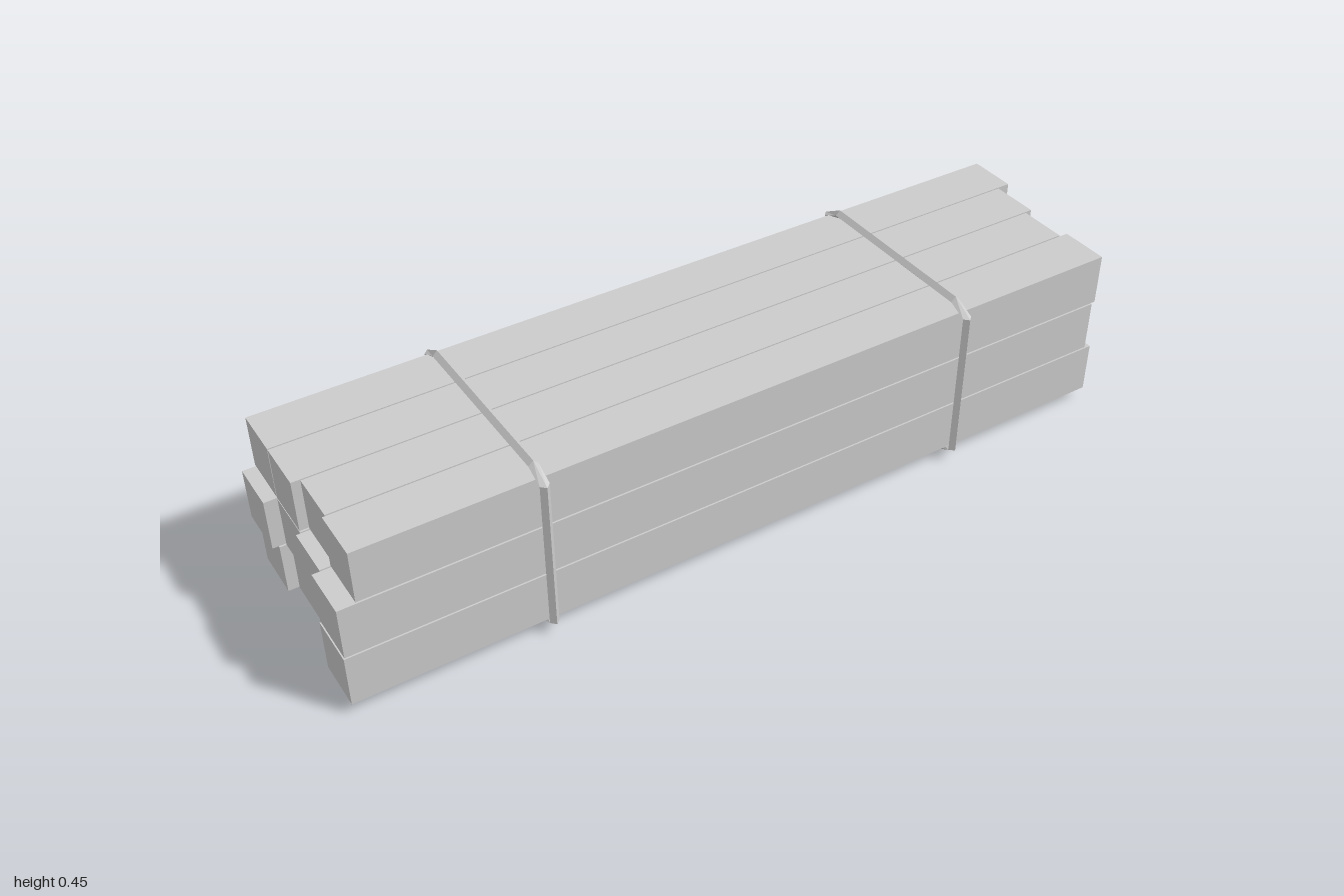
import * as THREE from 'three';

const timber = new THREE.MeshStandardMaterial({ color: 0xcccccc });
timber.name = 'light grey';

// Closed band with a diamond section, running round the bundle in the zy plane
function bandGeometry(r) {
  // [z, y, outward z, outward y] at each corner of the loop
  const path = [
    [0.267, 0.033, 1, 0], [0.267, 0.413, 1, 0],
    [0.222, 0.434, 0, 1], [-0.222, 0.434, 0, 1],
    [-0.267, 0.413, -1, 0], [-0.267, 0.033, -1, 0],
    [-0.222, 0.0115, 0, -1], [0.222, 0.0115, 0, -1],
  ];
  const section = [[1, 0], [0, 1], [-1, 0], [0, -1]]; // [outward, x]
  const points = [], index = [];
  path.forEach(([z, y, nz, ny], i) => {
    section.forEach(([out, side], j) => {
      points.push(side * r, y + ny * out * r, z + nz * out * r);
      const i2 = (i + 1) % path.length, j2 = (j + 1) % 4;
      const a = i * 4 + j, b = i * 4 + j2, c = i2 * 4 + j2, d = i2 * 4 + j;
      index.push(a, b, c, a, c, d);
    });
  });
  const indexed = new THREE.BufferGeometry();
  indexed.setAttribute('position', new THREE.Float32BufferAttribute(points, 3));
  indexed.setIndex(index);
  const geometry = indexed.toNonIndexed();
  geometry.computeVertexNormals();
  return geometry;
}

export function createModel() {
  const model = new THREE.Group();
  model.name = 'beamBundle';

  // Uneven beam ends [x start, x end]; rows bottom to top, columns back to front
  const ends = [
    [[-0.985, 0.96], [-0.96, 0.95], [-0.96, 0.945], [-1, 0.975]],
    [[-1, 0.97], [-0.97, 0.95], [-0.98, 0.99], [-0.998, 0.957]],
    [[-0.97, 1], [-0.97, 0.965], [-0.95, 0.945], [-0.957, 0.965]],
  ];
  const beams = new THREE.Group();
  beams.name = 'beams';
  ends.forEach((row, r) => row.forEach(([x0, x1], c) => {
    const beam = new THREE.Mesh(new THREE.BoxGeometry(x1 - x0, 0.128, 0.123), timber);
    beam.name = `beamRow${r + 1}Column${c + 1}`;
    beam.position.set((x0 + x1) / 2, 0.093 + r * 0.132, (c - 1.5) * 0.1265);
    beams.add(beam);
  }));
  model.add(beams);

  // Two binding straps
  const geometry = bandGeometry(0.0115);
  [['rightStrap', -0.542], ['leftStrap', 0.541]].forEach(([name, x]) => {
    const strap = new THREE.Mesh(geometry, timber);
    strap.name = name;
    strap.position.x = x;
    model.add(strap);
  });

  return model;
}
